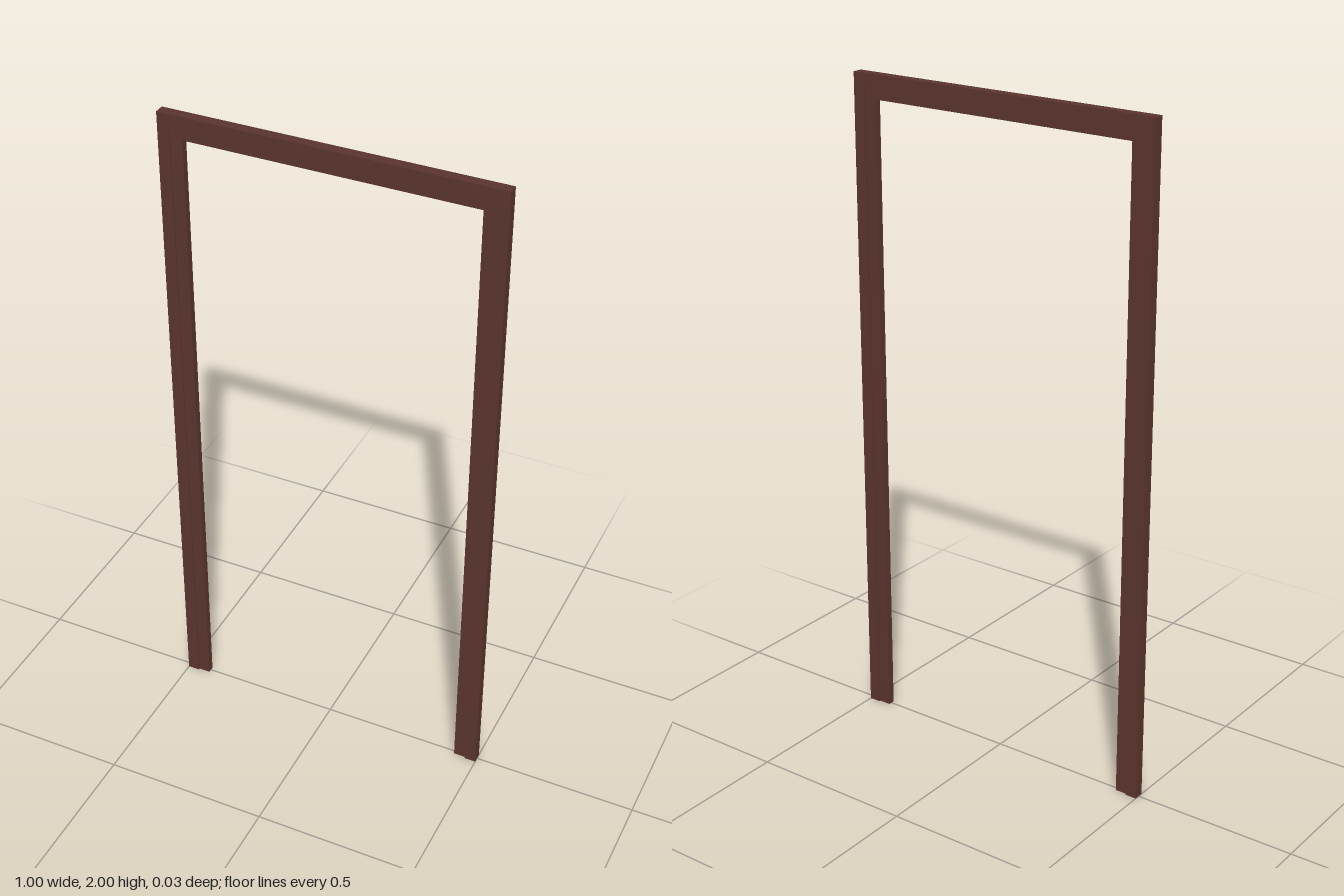
import * as THREE from 'three';

// Upside-down U outline: outer half width and height, with an even band width
function archShape(halfWidth, height, band) {
  const w = halfWidth, i = halfWidth - band, t = height - band;
  return new THREE.Shape([
    [-w, 0], [-i, 0], [-i, t], [i, t], [i, 0], [w, 0], [w, height], [-w, height],
  ].map(([x, y]) => new THREE.Vector2(x, y)));
}

export function createModel() {
  const group = new THREE.Group();
  group.name = 'doorFrame';
  const wood = new THREE.MeshStandardMaterial({ color: 0x5a342d });
  wood.name = 'darkBrownWood';

  function addArch(name, halfWidth, height, band, depth) {
    const geometry = new THREE.ExtrudeGeometry(archShape(halfWidth, height, band), {
      depth, bevelEnabled: false,
    });
    geometry.translate(0, 0, -depth / 2);
    const mesh = new THREE.Mesh(geometry, wood);
    mesh.name = name;
    group.add(mesh);
  }

  // Full-depth outer casing, and a slightly recessed inner lining
  addArch('outerCasing', 0.5, 2, 0.036, 0.031);
  addArch('innerLining', 0.464, 1.964, 0.036, 0.021);
  return group;
}
